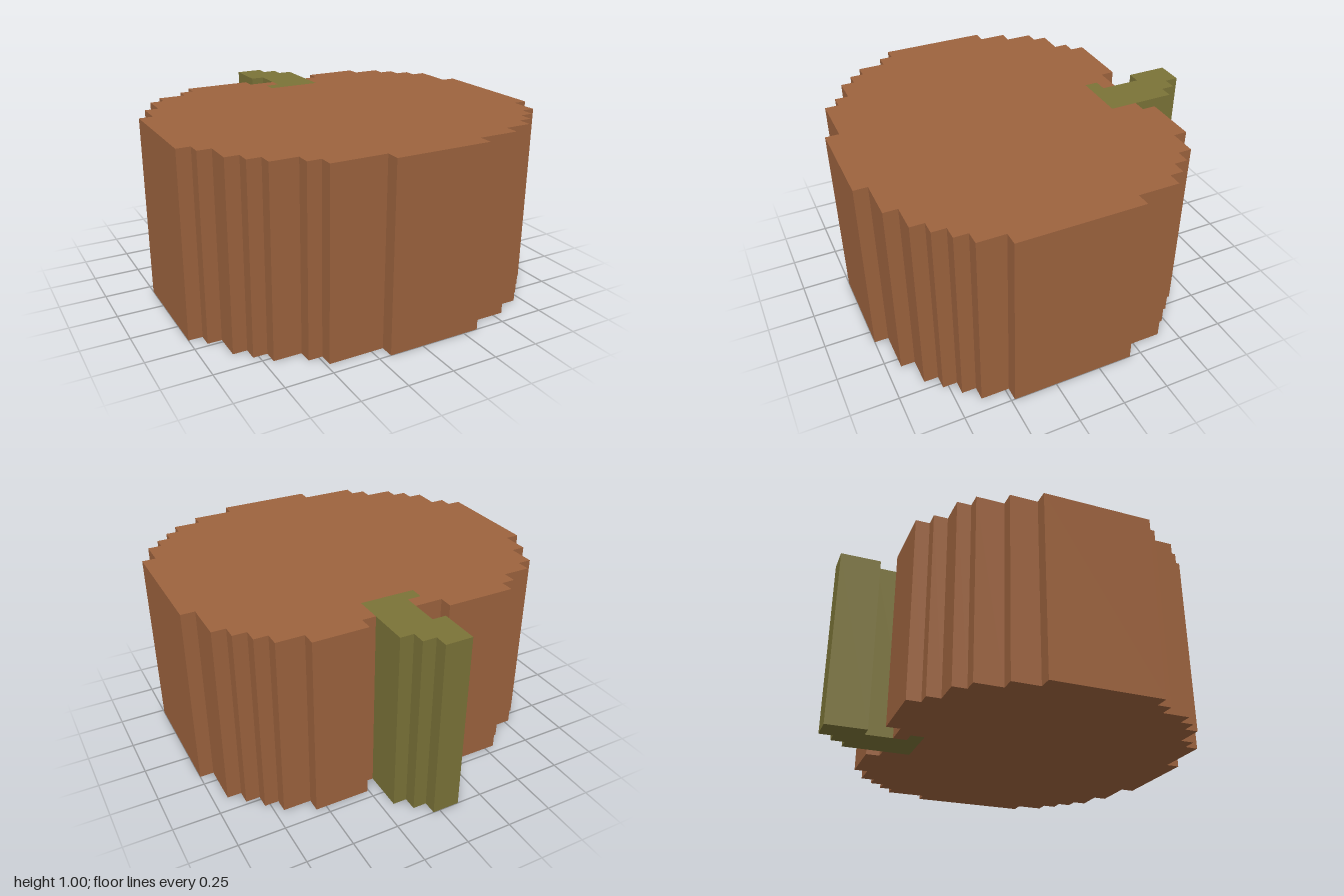
import * as THREE from 'three';

const CELL = 2 / 27; // the outline lies on a 27 x 27 grid
const HEIGHT = 1;

// Outline given as grid corners [column, row], row 0 at the back
function extrudeOutline(name, corners, material) {
  const points = corners.map(([c, r]) => new THREE.Vector2(c * CELL - 1, 1 - r * CELL));
  const geometry = new THREE.ExtrudeGeometry(new THREE.Shape(points), { depth: HEIGHT, bevelEnabled: false });
  geometry.rotateX(-Math.PI / 2);
  const mesh = new THREE.Mesh(geometry, material);
  mesh.name = name;
  return mesh;
}

// Staircase: pairs [column, row] where each step runs along the row, then down the column
function stairs(steps, endRow) {
  return steps.flatMap(([c, r], i) => [[c, r], [c, i + 1 < steps.length ? steps[i + 1][1] : endRow]]);
}

export function createModel() {
  const brown = new THREE.MeshStandardMaterial({ name: 'pumpkin brown', color: 0x9d633e });
  const olive = new THREE.MeshStandardMaterial({ name: 'stem olive', color: 0x7b7338 });

  // Right and left edges of the fruit, back to front
  const rightEdge = stairs([[21, 4], [23, 5], [24, 6], [25, 7], [26, 8], [27, 11], [26, 20],
    [25, 22], [24, 23], [23, 24], [21, 25], [18, 26]], 27);
  const leftEdge = stairs([[6, 4], [5, 5], [3, 6], [2, 7], [1, 9], [0, 11], [1, 19], [2, 20],
    [3, 22], [4, 23], [6, 24], [7, 25], [11, 26]], 27);
  // Notch at the back that holds the foot of the stem
  const notch = [[11, 4], [11, 5], [13, 5], [13, 6], [12, 6], [12, 7], [16, 7], [16, 5], [17, 5], [17, 4]];

  // Crooked stem
  const stem = [[12, 0], [14, 0], [14, 1], [15, 1], [15, 2], [16, 2], [16, 7], [12, 7], [12, 6],
    [13, 6], [13, 3], [12, 3]];

  const model = new THREE.Group();
  model.name = 'pixelPumpkin';
  model.add(
    extrudeOutline('fruitBody', [...notch, ...rightEdge, ...leftEdge.reverse()], brown),
    extrudeOutline('stem', stem, olive),
  );
  return model;
}
